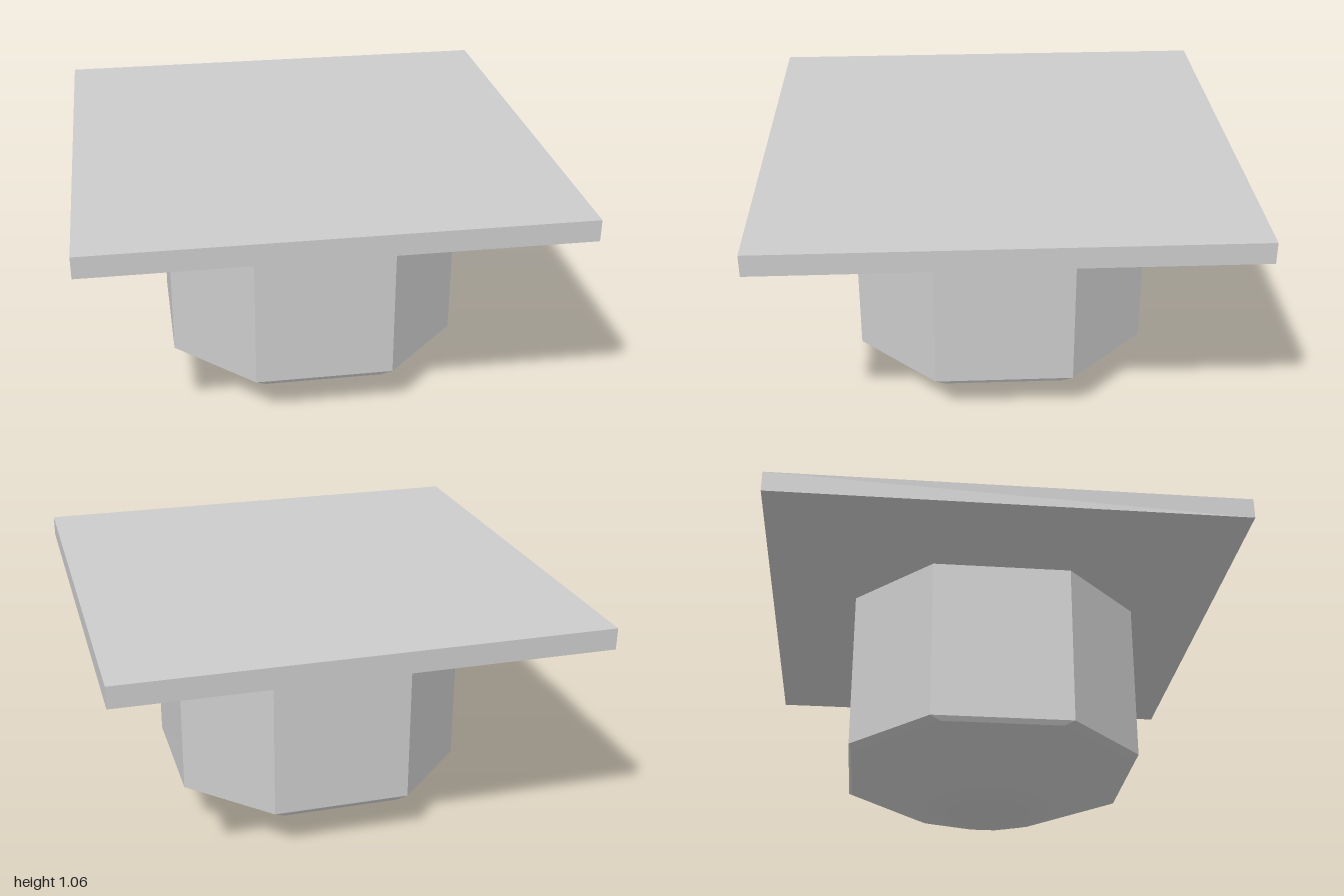
import * as THREE from 'three';
import { ConvexGeometry } from 'three/addons/geometries/ConvexGeometry.js';

// Eight corners of an octagon with flats at distance a and half flat width b.
function octagon(a, b, y) {
  const points = [];
  for (const sx of [-1, 1]) for (const sz of [-1, 1]) {
    points.push(new THREE.Vector3(sx * b, y, sz * a), new THREE.Vector3(sx * a, y, sz * b));
  }
  return points;
}

function square(a, y) {
  return [[-1, -1], [1, -1], [1, 1], [-1, 1]].map(([x, z]) => new THREE.Vector3(x * a, y, z * a));
}

function ring(radius, sides, y) {
  return Array.from({ length: sides }, (_, i) => {
    const t = ((i + 0.5) / sides) * Math.PI * 2;
    return new THREE.Vector3(Math.cos(t) * radius, y, Math.sin(t) * radius);
  });
}

export function createModel() {
  const group = new THREE.Group();
  const material = new THREE.MeshStandardMaterial({ color: 0xcccccc, flatShading: true });

  function addHull(name, points) {
    const mesh = new THREE.Mesh(new ConvexGeometry(points), material);
    mesh.name = name;
    group.add(mesh);
  }

  // Square plate with a shallow taper underneath
  addHull('topPlate', [
    ...square(1, 1.06),
    ...square(1, 0.97),
    ...octagon(0.64, 0.3, 0.945),
    ...octagon(0.26, 0.1, 0.94),
  ]);

  // Eight-sided body, bevelled into a shallow faceted bowl
  addHull('body', [
    ...octagon(0.28, 0.22, 0.912),
    ...octagon(0.622, 0.295, 0.906),
    ...octagon(0.622, 0.295, 0.2),
    ...octagon(0.61, 0.25, 0.18),
    ...ring(0.275, 16, 0.035),
    ...ring(0.19, 16, 0.014),
    ...ring(0.09, 8, 0),
  ]);

  return group;
}
